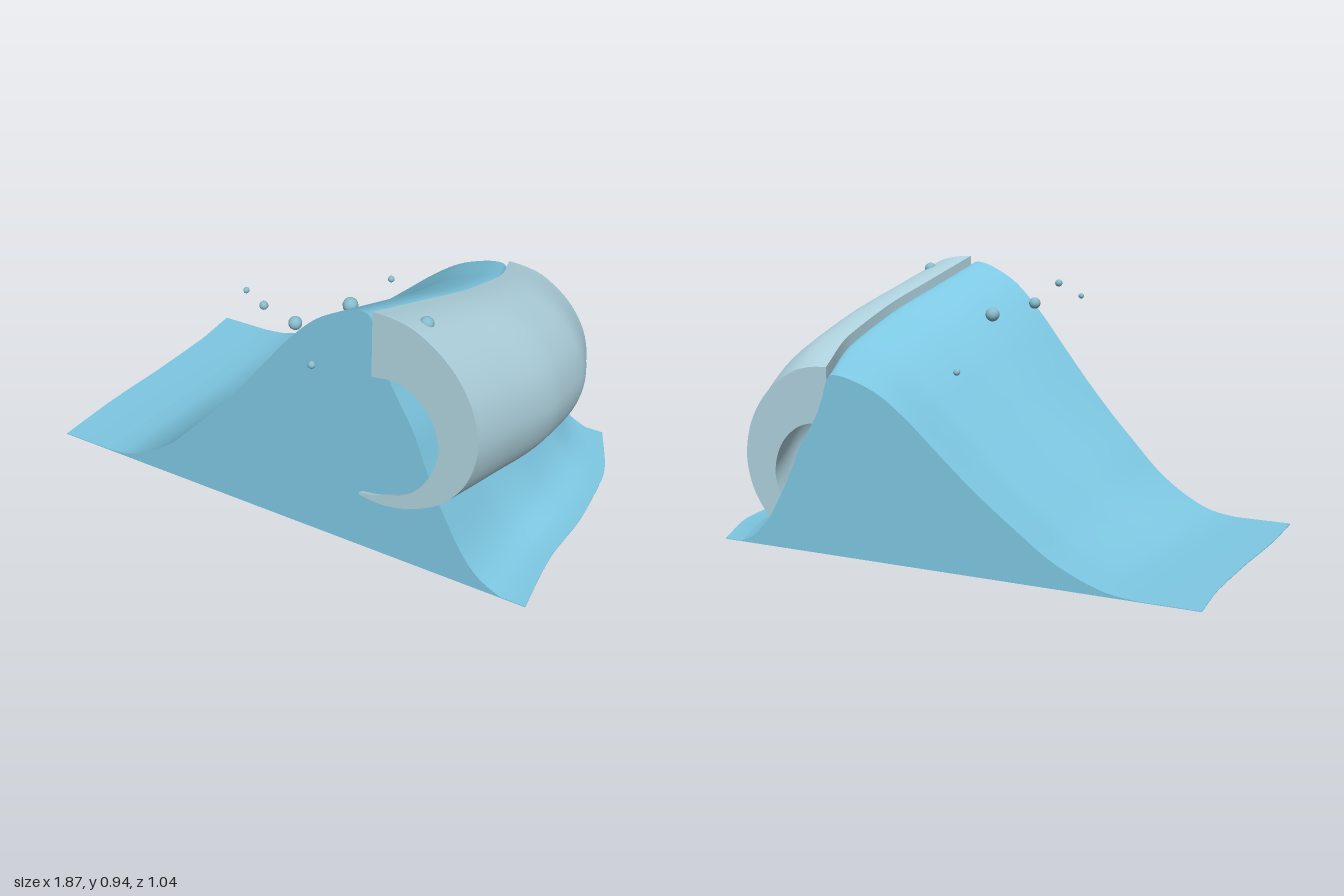
import * as THREE from 'three';
import { toCreasedNormals } from 'three/addons/utils/BufferGeometryUtils.js';

const mat = (name, color) => {
  const m = new THREE.MeshStandardMaterial({ color });
  m.name = name;
  return m;
};

const Z_FRONT = 0.47, Z_BACK = -0.52, STEPS = 40;

// Meander of the wave from front to back: left edge, crest shift, right edge
const meander = new THREE.CatmullRomCurve3([
  [-1, 0, 0.855], [-0.985, 0.05, 0.847], [-0.955, 0.097, 0.872],
  [-0.933, 0.106, 0.867], [-0.93, 0.05, 0.783],
].map((p) => new THREE.Vector3(...p)));

// Smooth 2D line through a few points
const smoothLine = (pts, n) =>
  new THREE.SplineCurve(pts.map((p) => new THREE.Vector2(...p))).getPoints(n);

// Capped loft through rings that run clockwise seen from the front
function loft(rings) {
  const n = rings[0].length, pos = [], idx = [];
  rings.forEach((r) => r.forEach((p) => pos.push(p.x, p.y, p.z)));
  for (let i = 0; i < rings.length - 1; i++) {
    for (let j = 0; j < n; j++) {
      const k = (j + 1) % n;
      const a = i * n + j, b = i * n + k, c = b + n, d = a + n;
      idx.push(a, b, c, a, c, d);
    }
  }
  const cap = (ring, start, facing) => {
    const flat = ring.map((p) => new THREE.Vector2(p.x, p.y));
    for (const [a, b, c] of THREE.ShapeUtils.triangulateShape(flat, [])) {
      const area = THREE.ShapeUtils.area([flat[a], flat[b], flat[c]]);
      if (area * facing > 0) idx.push(start + a, start + b, start + c);
      else idx.push(start + a, start + c, start + b);
    }
  };
  cap(rings[0], 0, 1);
  cap(rings[rings.length - 1], (rings.length - 1) * n, -1);
  const g = new THREE.BufferGeometry();
  g.setAttribute('position', new THREE.Float32BufferAttribute(pos, 3));
  g.setIndex(idx);
  return toCreasedNormals(g, 0.8);
}

// One ring per step, t running from 0 at the front to 1 at the back
const sweep = (ringAt) =>
  loft(Array.from({ length: STEPS + 1 }, (_, i) => ringAt(i / STEPS)));

// Water body: long slope up to the crest, steep drop behind it
function bodyGeometry() {
  const crest = 0.28;
  const slope = smoothLine([
    [-0.8, 0.003], [-0.7, 0.02], [-0.6, 0.07], [-0.5, 0.145], [-0.4, 0.25],
    [-0.3, 0.36], [-0.2, 0.48], [-0.1, 0.61], [0, 0.74], [0.1, 0.845],
    [0.2, 0.905], [0.27, 0.922], [0.3, 0.89], [0.325, 0.8], [0.365, 0.69],
    [0.44, 0.55], [0.49, 0.42], [0.54, 0.3], [0.62, 0.14], [0.69, 0.05],
    [0.77, 0.003],
  ], 100);
  const top = [new THREE.Vector2(-1, 0.003), ...slope, new THREE.Vector2(0.855, 0.003)];
  const profile = [new THREE.Vector2(-1, 0), ...top, new THREE.Vector2(0.855, 0)];
  return sweep((t) => {
    const m = meander.getPoint(t), c = crest + m.y;
    const z = THREE.MathUtils.lerp(Z_FRONT, Z_BACK, t);
    const h = THREE.MathUtils.lerp(1, 0.67, t);
    return profile.map((p) => {
      const x = p.x < crest
        ? THREE.MathUtils.mapLinear(p.x, -1, crest, m.x, c)
        : THREE.MathUtils.mapLinear(p.x, crest, 0.855, c, m.z);
      return new THREE.Vector3(x, p.y * h, z);
    });
  });
}

// Curling lip: crescent section thinning to a tip
function curlGeometry() {
  const outer = smoothLine([
    [0.305, 0.943], [0.38, 0.937], [0.46, 0.91], [0.56, 0.83], [0.63, 0.72],
    [0.66, 0.6], [0.655, 0.5], [0.62, 0.4], [0.55, 0.31], [0.45, 0.25],
    [0.35, 0.226], [0.265, 0.235],
  ], 48);
  const inner = smoothLine([
    [0.265, 0.243], [0.34, 0.258], [0.42, 0.295], [0.48, 0.35], [0.52, 0.43],
    [0.537, 0.52], [0.51, 0.62], [0.45, 0.69], [0.38, 0.72], [0.305, 0.713],
  ], 48);
  const profile = [...outer, ...inner];
  return sweep((t) => {
    const shift = meander.getPoint(t).y;
    const z = THREE.MathUtils.lerp(0.487, -0.505, t);
    const crestY = THREE.MathUtils.lerp(0.943, 0.64, t);
    const sx = THREE.MathUtils.lerp(1, 0.93, t), sy = THREE.MathUtils.lerp(1, 0.88, t);
    return profile.map((p) => new THREE.Vector3(
      0.305 + shift + (p.x - 0.305) * sx, crestY + (p.y - 0.943) * sy, z));
  });
}

export function createModel() {
  const group = new THREE.Group();
  group.name = 'wave';
  const water = mat('water blue', 0x7ec8e3);
  const foam = mat('pale blue', 0xb0d4e0);
  const spray = mat('spray blue', 0x88bccc);

  const add = (name, geometry, material) => {
    const mesh = new THREE.Mesh(geometry, material);
    mesh.name = name;
    group.add(mesh);
    return mesh;
  };
  add('waveBody', bodyGeometry(), water);
  add('curlingLip', curlGeometry(), foam);

  // Spray droplets: x, y, z, radius
  [
    [-0.205, 0.815, 0.38, 0.01], [-0.075, 0.85, 0.48, 0.014],
    [0, 0.775, 0.42, 0.022], [0.11, 0.707, 0.51, 0.013],
    [0.08, 0.75, 0.205, 0.026], [0.01, 0.605, -0.235, 0.012],
    [0.44, 0.895, 0.4, 0.023],
  ].forEach(([x, y, z, r], i) => {
    add(`droplet${i + 1}`, new THREE.SphereGeometry(r, 16, 12), spray).position.set(x, y, z);
  });
  return group;
}
